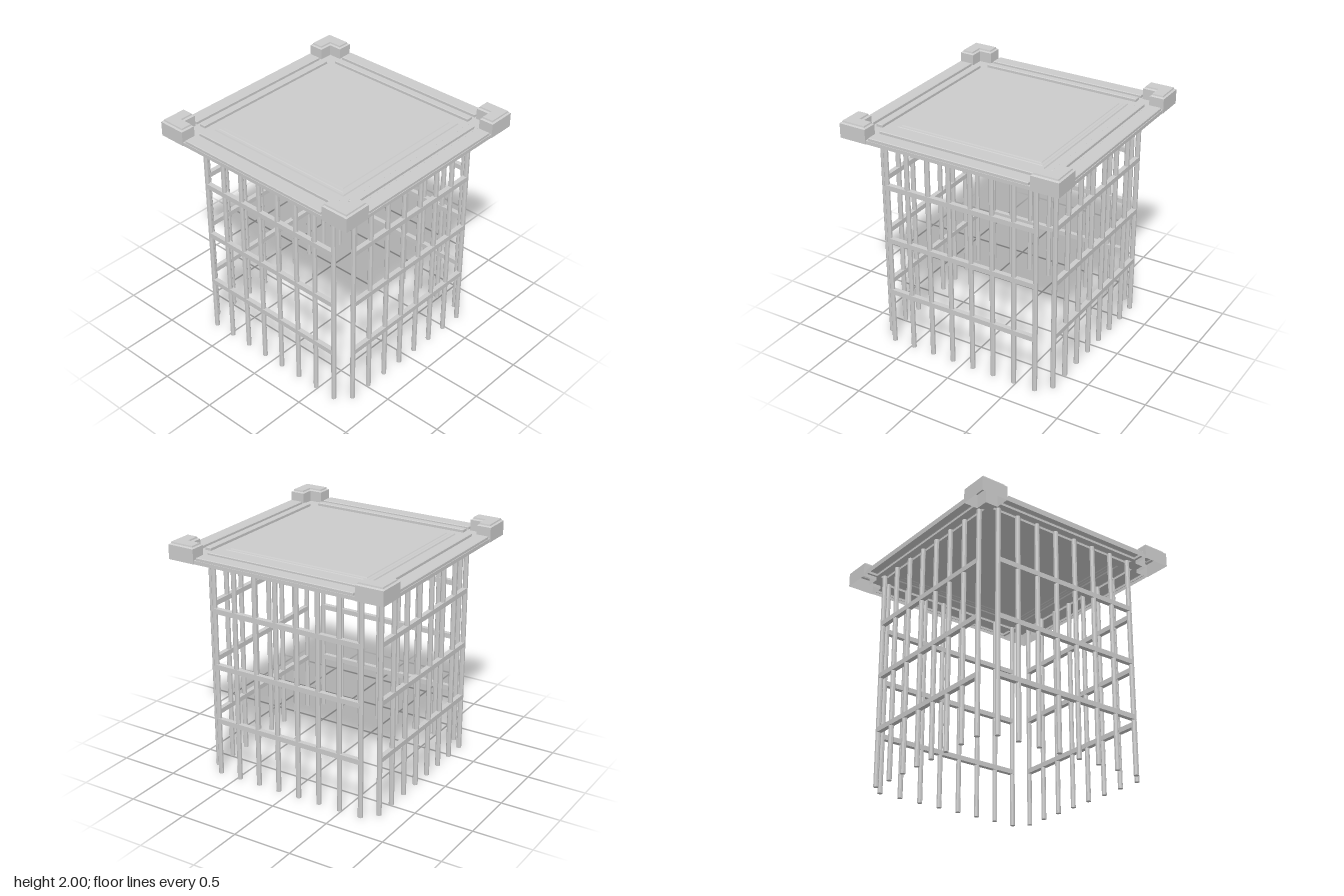
import * as THREE from 'three';
import { mergeGeometries } from 'three/addons/utils/BufferGeometryUtils.js';

const material = new THREE.MeshStandardMaterial({ color: 0xcccccc, flatShading: true, side: THREE.DoubleSide });
const SIDES = [0, 1, 2, 3];
const RIM = 1.86, DECK = 1.89;

// Plan outlines are counter-clockwise [x, y] loops, laid flat at the end.
const rect = (x0, y0, x1, y1) => [[x0, y0], [x1, y0], [x1, y1], [x0, y1]];
const quarter = (pts, n) => n === 0 ? pts : quarter(pts.map(([x, y]) => [-y, x]), n - 1);
const vectors = (pts) => pts.map(([x, y]) => new THREE.Vector2(x, y));

// Moves every edge of a right-angled outline inwards by d
function inset(pts, d) {
  const n = pts.length;
  const normal = (a, b) => [-Math.sign(b[1] - a[1]), Math.sign(b[0] - a[0])];
  return pts.map((p, i) => {
    const u = normal(pts[(i + n - 1) % n], p), v = normal(p, pts[(i + 1) % n]);
    return [p[0] + d * (u[0] + v[0]), p[1] + d * (u[1] + v[1])];
  });
}

// Flat sheet with holes at a height
function sheet(outline, height, holes = []) {
  const shape = new THREE.Shape(vectors(outline));
  for (const h of holes) shape.holes.push(new THREE.Path(vectors(h)));
  return new THREE.ShapeGeometry(shape).toNonIndexed()
    .translate(0, 0, height).rotateX(-Math.PI / 2);
}

// Open-bottomed raised shell; levels are [inset, height] pairs from bottom to top
function raised(outline, levels) {
  const pos = [];
  const rings = levels.map(([d, h]) => inset(outline, d).map(([x, y]) => [x, h, -y]));
  for (let k = 0; k + 1 < rings.length; k++) {
    outline.forEach((_, i) => {
      const j = (i + 1) % outline.length;
      const a = rings[k][i], b = rings[k][j], c = rings[k + 1][j], d = rings[k + 1][i];
      pos.push(...a, ...b, ...c, ...a, ...c, ...d);
    });
  }
  const walls = new THREE.BufferGeometry();
  walls.setAttribute('position', new THREE.Float32BufferAttribute(pos, 3));
  walls.computeVertexNormals();
  const [d, h] = levels[levels.length - 1];
  const cap = sheet(inset(outline, d), h);
  cap.deleteAttribute('uv');
  return mergeGeometries([walls, cap]);
}

function add(parent, name, geometry) {
  const mesh = new THREE.Mesh(geometry, material);
  mesh.name = name;
  parent.add(mesh);
  return mesh;
}

function createLid() {
  const lid = new THREE.Group();
  lid.name = 'lid';
  const outerStrip = rect(-0.7, -0.945, 0.7, -0.835);
  const innerStrip = rect(-0.7, -0.8, 0.7, -0.745);
  const panel = rect(-0.67, -0.67, 0.67, 0.67);
  const corner = [[0.72, -0.955], [0.955, -0.955], [0.955, -0.72], [0.83, -0.72], [0.83, -0.83], [0.72, -0.83]];
  const deckSide = [[-0.72, -0.95], [0.72, -0.95], [0.72, -0.83], [0.83, -0.83], [0.83, -0.72]];

  // Deck, cut out beneath every raised part
  const holes = [panel];
  for (const n of SIDES) holes.push(quarter(outerStrip, n), quarter(innerStrip, n));
  add(lid, 'deck', sheet(SIDES.flatMap((n) => quarter(deckSide, n)), DECK, holes));

  // Stepped centre panel
  add(lid, 'centrePanel', raised(panel, [[0, DECK], [0.005, 1.9], [0.025, 1.9], [0.03, 1.905], [0.05, 1.905], [0.055, 1.912]]));

  // Rim, strips and corner caps on each side
  const stripLevels = [[0, DECK], [0, 1.91], [0.005, 1.915]];
  for (const n of SIDES) {
    const rim = add(lid, 'rim', new THREE.PlaneGeometry(1.44, DECK - RIM).translate(0, (DECK + RIM) / 2, 0.95));
    rim.rotation.y = n * Math.PI / 2;
    add(lid, 'outerStrip', raised(quarter(outerStrip, n), stripLevels));
    add(lid, 'innerStrip', raised(quarter(innerStrip, n), stripLevels));
    add(lid, 'cornerCap', raised(quarter(corner, n), [[0, RIM], [0, 1.98], [0.014, 1.988], [0.017, 2]]));
  }
  return lid;
}

// One wall of upright bars with three cross rails
function createWall(n) {
  const wall = new THREE.Group();
  wall.name = 'barWall';
  const bar = new THREE.CylinderGeometry(0.021, 0.021, DECK, 8).rotateY(Math.PI / 8);
  const rail = new THREE.BoxGeometry(1.34, 0.042, 0.04);
  for (let i = 0; i < 8; i++) add(wall, 'bar', bar).position.set(-0.67 + i * 1.34 / 7, DECK / 2, 0.775);
  for (const y of [0.482, 0.96, 1.437]) add(wall, 'rail', rail).position.set(0, y, 0.775);
  wall.rotation.y = n * Math.PI / 2;
  return wall;
}

export function createModel() {
  const model = new THREE.Group();
  model.name = 'barredCage';
  model.add(createLid());
  for (const n of SIDES) model.add(createWall(n));
  return model;
}
